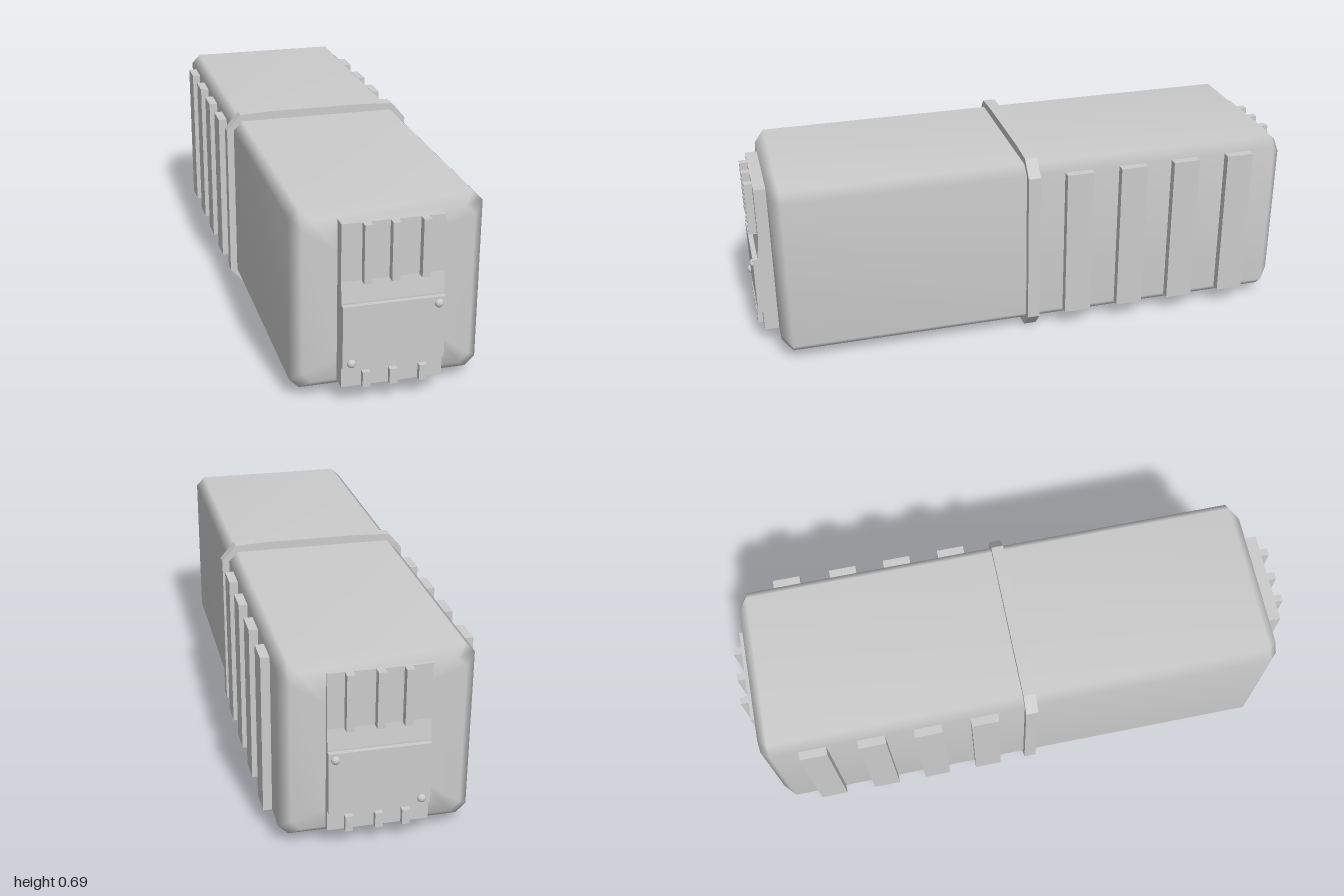
import * as THREE from 'three';

const MID = 0.346; // height of the body axis

export function createModel() {
  const root = new THREE.Group();
  const mat = new THREE.MeshStandardMaterial({ color: 0xcccccc });

  const add = (parent, name, geo, x = 0, y = 0, z = 0) => {
    const m = new THREE.Mesh(geo, mat);
    m.name = name;
    m.position.set(x, y, z);
    parent.add(m);
    return m;
  };
  const box = (parent, name, x0, x1, y0, y1, z0, z1) =>
    add(parent, name, new THREE.BoxGeometry(x1 - x0, y1 - y0, z1 - z0),
      (x0 + x1) / 2, (y0 + y1) / 2, (z0 + z1) / 2);

  // Chamfered octagon, counter-clockwise seen from the front
  const octagon = (w, h, c) => [
    [w, -h + c], [w, h - c], [w - c, h], [-w + c, h],
    [-w, h - c], [-w, -h + c], [-w + c, -h], [w - c, -h],
  ];

  // Body: octagonal sections from back to front, softened at the ends
  const sections = [
    [-0.95, 0.167, 0.2], [-0.95, 0.28, 0.278], [-0.915, 0.315, 0.311],
    [0, 0.315, 0.311],
    [0.885, 0.315, 0.311], [0.92, 0.28, 0.278], [0.92, 0.167, 0.2],
  ];
  const pos = [], index = [];
  sections.forEach(([z, w, h]) => octagon(w, h, 0.033).forEach(([x, y]) => pos.push(x, y, z)));
  for (let s = 0; s < sections.length - 1; s++) {
    for (let i = 0; i < 8; i++) {
      const a = s * 8 + i, b = s * 8 + (i + 1) % 8;
      index.push(a, b, b + 8, a, b + 8, a + 8);
    }
  }
  const last = (sections.length - 1) * 8;
  for (let i = 1; i < 7; i++) {
    index.push(0, i + 1, i);
    index.push(last, last + i, last + i + 1);
  }
  const bodyGeo = new THREE.BufferGeometry();
  bodyGeo.setAttribute('position', new THREE.Float32BufferAttribute(pos, 3));
  bodyGeo.setIndex(index);
  bodyGeo.computeVertexNormals();
  add(root, 'body', bodyGeo, 0, MID, 0);

  // Collar around the middle, slightly crowned at top and bottom
  const half = [[0.17, -0.344], [0.29, -0.337], [0.34, -0.281],
    [0.34, 0.278], [0.29, 0.336], [0.17, 0.342]];
  const outline = [...half, ...half.slice().reverse().map(([x, y]) => [-x, y])];
  const collar = new THREE.Shape(outline.map(([x, y]) => new THREE.Vector2(x, y)));
  add(root, 'collar', new THREE.ExtrudeGeometry(collar, { depth: 0.044, bevelEnabled: false }),
    0, MID - 0.001, -0.012);

  // Four upright ribs on each rear side
  const ribs = new THREE.Group();
  ribs.name = 'sideRibs';
  root.add(ribs);
  for (const z of [-0.158, -0.36, -0.56, -0.767]) {
    for (const s of [-1, 1]) {
      box(ribs, 'sideRib', s * 0.3175 - 0.0275, s * 0.3175 + 0.0275, 0.067, 0.622, z - 0.049, z + 0.049);
    }
  }

  // End panel, built facing +z with its outermost point at z = 1
  const endPanel = (name, dir, bodyEnd) => {
    const g = new THREE.Group();
    g.name = name;
    root.add(g);
    const back = bodyEnd - 0.02;

    // Backing block with a ramp down to the grille field
    const profile = new THREE.Shape();
    [[back, 0.067], [0.971, 0.067], [0.971, 0.36], [0.962, 0.43], [0.962, 0.622], [back, 0.622]]
      .forEach(([z, y], i) => (i ? profile.lineTo(-z, y) : profile.moveTo(-z, y)));
    const block = new THREE.ExtrudeGeometry(profile, { depth: 0.334, bevelEnabled: false });
    block.translate(0, 0, -0.167);
    block.rotateY(Math.PI / 2);
    add(g, 'panelBlock', block);

    // Cover plate, grille bars and feet below the plate
    box(g, 'coverPlate', -0.167, 0.167, 0.14, 0.355, back, 0.988);
    for (const x of [-0.088, 0.001, 0.099]) {
      box(g, 'grilleBar', x - 0.013, x + 0.013, 0.428, 0.622, back, 0.99);
      box(g, 'lowerBar', x - 0.013, x + 0.013, 0.067, 0.12, back, 0.99);
    }

    // Two domed bolts on opposite corners
    for (const [x, y] of [[0.145, 0.333], [-0.138, 0.157]]) {
      const bolt = add(g, 'bolt', new THREE.SphereGeometry(0.0145, 16, 12), x, y, 0.988);
      bolt.scale.z = 0.83;
    }

    // Mirror along z for the back end
    g.scale.z = dir;
  };
  endPanel('frontPanel', 1, 0.92);
  endPanel('backPanel', -1, 0.95);

  return root;
}
